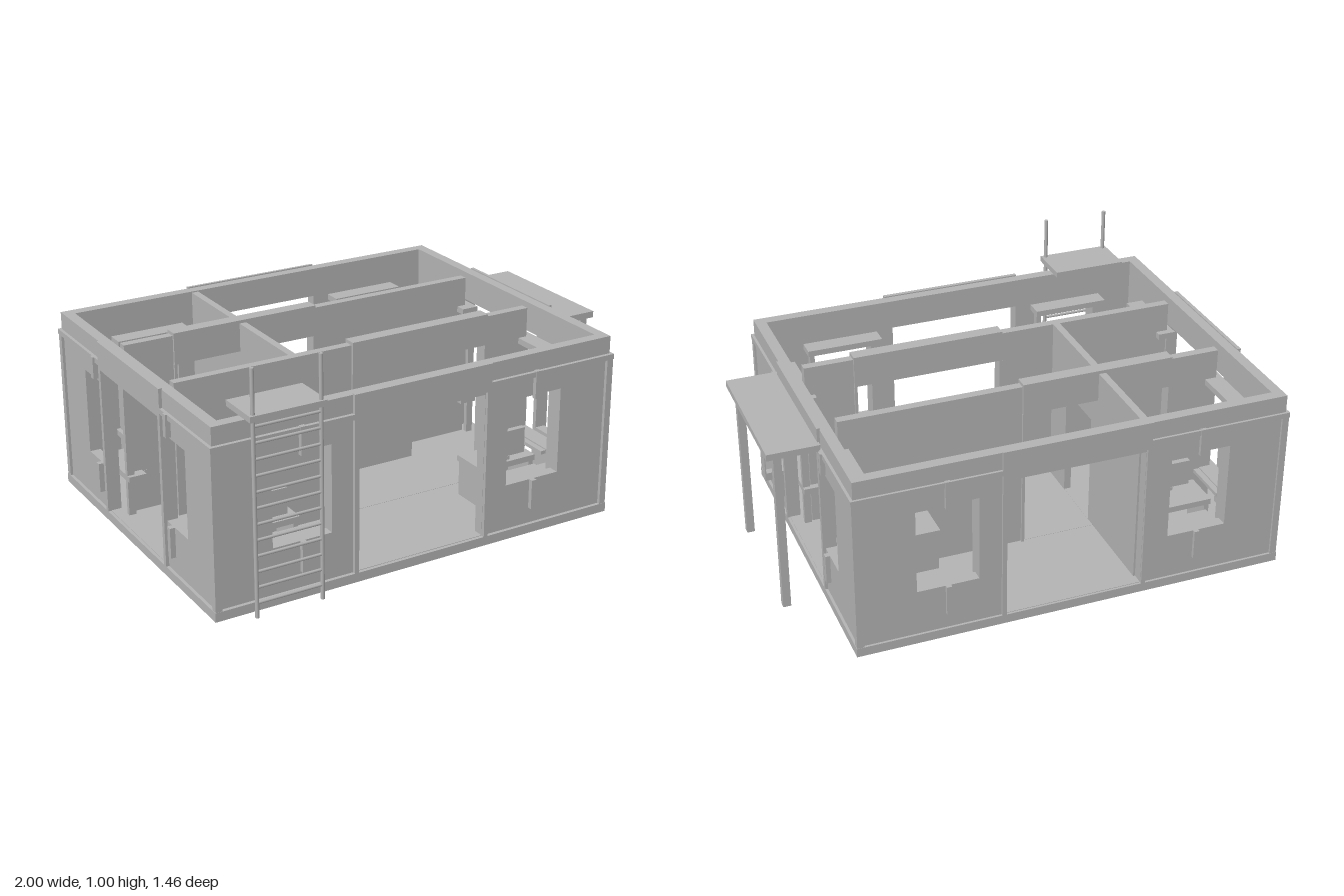
import * as THREE from 'three';

export function createModel() {
  const root = new THREE.Group();
  const grey = new THREE.MeshStandardMaterial({ color: 0xb3b3b3 });
  grey.name = 'plain grey';

  const add = (name, geo, parent = root) => {
    const m = new THREE.Mesh(geo, grey);
    m.name = name;
    parent.add(m);
    return m;
  };
  // box given by its low and high corners
  const box = (name, x0, x1, y0, y1, z0, z1, parent) =>
    add(name, new THREE.BoxGeometry(x1 - x0, y1 - y0, z1 - z0)
      .translate((x0 + x1) / 2, (y0 + y1) / 2, (z0 + z1) / 2), parent);
  const post = (name, x, z, y0, y1, r, n = 12) =>
    add(name, new THREE.CylinderGeometry(r, r, y1 - y0, n).translate(x, (y0 + y1) / 2, z));

  // wall panel with rectangular openings [u0, u1, v0, v1]
  const panel = (u0, u1, v0, v1, depth, holes) => {
    const rect = (P, a, b, c, d) => {
      const p = new P();
      p.moveTo(a, c); p.lineTo(b, c); p.lineTo(b, d); p.lineTo(a, d); p.closePath();
      return p;
    };
    const s = rect(THREE.Shape, u0, u1, v0, v1);
    for (const h of holes) s.holes.push(rect(THREE.Path, ...h));
    return new THREE.ExtrudeGeometry(s, { depth, bevelEnabled: false });
  };

  // floor
  box('plinth', -0.96, 0.77, 0, 0.03, -0.69, 0.64);
  box('floor', -0.96, 0.77, 0.02, 0.06, -0.7, 0.645);

  // outer walls
  const longHoles = [[-0.74, -0.49, 0.25, 0.61], [0.3, 0.55, 0.25, 0.61], [-0.38, 0.19, 0.06, 0.66]];
  const shortHoles = [[0.255, 0.435, 0.25, 0.61], [-0.485, -0.315, 0.25, 0.61], [-0.295, 0.235, 0.06, 0.66]];
  const T = 0.045;
  add('frontWall', panel(-0.975, 0.785, 0.02, 0.785, T, longHoles).translate(0, 0, 0.612));
  add('backWall', panel(-0.975, 0.785, 0.02, 0.785, T, longHoles).translate(0, 0, -0.717));
  const side = () => panel(-0.672, 0.612, 0.02, 0.785, T, shortHoles).rotateY(-Math.PI / 2);
  add('rightWall', side().translate(0.785, 0, 0));
  add('leftWall', side().translate(-0.93, 0, 0));

  // raised bands, pilasters and door surrounds on the long walls
  for (const [z0, z1] of [[0.655, 0.672], [-0.727, -0.715]]) {
    for (const [x0, x1] of [[-0.985, -0.385], [0.195, 0.795]]) {
      box('baseBand', x0, x1, 0.02, 0.058, z0, z1);
      box('upperBand', x0, x1, 0.69, 0.712, z0, z1);
    }
    box('doorSill', -0.385, 0.195, 0.02, 0.058, z0, z1);
    box('doorHeader', -0.39, 0.2, 0.675, 0.79, z0, z1);
    for (const x of [-0.39, 0.2]) box('pilaster', x - 0.009, x + 0.009, 0.02, 0.79, z0, z1);
    for (const x of [-0.615, 0.425]) {
      const out = z0 > 0 ? [z0, z1 + 0.004] : [z0 - 0.004, z1];
      box('upperRod', x - 0.011, x + 0.011, 0.6, 0.715, ...out);
      box('lowerRod', x - 0.011, x + 0.011, 0.125, 0.25, ...out);
    }
  }
  // the same on the short walls
  for (const [x0, x1, s] of [[0.783, 0.796, 1], [-0.988, -0.973, -1]]) {
    for (const [z0, z1] of [[-0.727, -0.305], [0.245, 0.672]]) {
      box('baseBand', x0, x1, 0.02, 0.058, z0, z1);
      box('upperBand', x0, x1, 0.69, 0.712, z0, z1);
    }
    box('doorSill', x0, x1, 0.02, 0.058, -0.31, 0.25);
    box('doorHeader', x0, x1, 0.675, 0.79, -0.315, 0.255);
    for (const z of [-0.305, 0.245]) box('pilaster', x0, x1, 0.02, 0.79, z - 0.01, z + 0.01);
    for (const z of [-0.36, 0.31]) {
      const out = s > 0 ? [x0, x1 + 0.008] : [x0 - 0.008, x1];
      box('upperRod', ...out, 0.62, 0.712, z - 0.012, z + 0.012);
      box('lowerRod', ...out, 0.125, 0.25, z - 0.012, z + 0.012);
    }
  }
  // corner columns
  for (const x of [-0.972, 0.78]) for (const z of [-0.712, 0.657])
    box('cornerColumn', x - 0.014, x + 0.014, 0.02, 0.712, z - 0.014, z + 0.014);

  // deep inner window frames; local +z points into the room
  const windowFrame = (x, z, turn) => {
    const g = new THREE.Group();
    g.name = 'windowFrame';
    box('topLedge', -0.163, 0.163, 0.63, 0.655, 0, 0.075, g);
    box('bottomLedge', -0.163, 0.163, 0.21, 0.235, 0, 0.075, g);
    box('sill', -0.12, 0.12, 0.215, 0.23, 0.075, 0.1, g);
    for (const s of [-1, 1]) {
      box('jamb', s * 0.135 - 0.01, s * 0.135 + 0.01, 0.235, 0.63, 0, 0.03, g);
      box('ledgeLeg', s * 0.135 - 0.01, s * 0.135 + 0.01, 0.06, 0.21, 0, 0.03, g);
    }
    g.position.set(x, 0, z);
    g.rotation.y = turn;
    root.add(g);
  };
  for (const x of [-0.615, 0.425]) {
    windowFrame(x, 0.612, Math.PI);
    windowFrame(x, -0.672, 0);
  }
  for (const z of [-0.36, 0.31]) {
    windowFrame(0.74, z, -Math.PI / 2);
    windowFrame(-0.93, z, Math.PI / 2);
  }

  // inner partitions with wide doorways and thicker lintels
  const partition = (name, z, d0, d1) => {
    add(name, panel(-0.905, 0.705, 0.06, 0.78, 0.036, [[d0, d1, 0.061, 0.66]]).translate(0, 0, z - 0.018));
    box('lintel', d0 - 0.01, d1 + 0.01, 0.66, 0.793, z - 0.028, z + 0.028);
    for (const x of [d0 - 0.005, d1 + 0.005])
      box('doorJamb', x - 0.006, x + 0.006, 0.06, 0.66, z - 0.028, z + 0.028);
  };
  partition('backPartition', -0.26, -0.685, -0.06);
  partition('frontPartition', 0.193, -0.13, 0.49);
  add('crossPartition', panel(-0.672, 0.178, 0.06, 0.78, 0.03, [[-0.23, 0.02, 0.061, 0.54]])
    .rotateY(-Math.PI / 2).translate(-0.372, 0, 0));

  // counter in the hall
  box('counter', -0.03, 0.36, 0.06, 0.37, -0.242, -0.12);

  // desks with screens and round stools
  const desk = (x, z, s) => {
    box('deskTop', x - 0.138, x + 0.138, 0.21, 0.235, z - 0.08, z + 0.08);
    for (const a of [-1, 1])
      box('deskSide', x + a * 0.125 - 0.01, x + a * 0.125 + 0.01, 0.06, 0.21, z - 0.07, z + 0.07);
    box('screen', x - 0.095, x + 0.095, 0.25, 0.36, z + s * 0.05 - 0.012, z + s * 0.05 + 0.012);
    box('screenFoot', x - 0.02, x + 0.02, 0.235, 0.25, z + s * 0.05 - 0.015, z + s * 0.05 + 0.015);
  };
  const stool = (x, z) => {
    post('stoolSeat', x, z, 0.14, 0.16, 0.06, 24);
    post('stoolStem', x, z, 0.06, 0.14, 0.012);
  };
  desk(-0.65, 0.37, 1);
  desk(0.456, 0.37, 1);
  desk(-0.65, -0.435, 1);
  stool(-0.65, 0.213);
  stool(0.456, 0.213);
  stool(-0.65, -0.56 + 0.09 - 0.08);

  // cabinet and padded block in the back rooms
  box('cabinet', -0.515, -0.405, 0.06, 0.39, -0.66, -0.36);
  box('blockBody', 0.385, 0.525, 0.06, 0.34, -0.5, -0.365);
  box('blockLid', 0.38, 0.53, 0.34, 0.357, -0.507, -0.358);

  // porch canopy with posts
  box('canopy', 0.79, 1.0, 0.705, 0.732, -0.338, 0.277);
  for (const z of [-0.305, 0.257]) box('canopyPost', 0.938, 0.97, 0.02, 0.705, z - 0.015, z + 0.015);

  // small bracket by the porch
  box('bracketArm', 0.79, 0.86, 0.21, 0.245, 0.31, 0.343);
  box('bracketPlate', 0.856, 0.861, 0.21, 0.4, 0.31, 0.343);

  // ladder and its landing
  for (const x of [-0.84, -0.565]) post('ladderRail', x, 0.715, 0.02, 1.0, 0.008);
  for (let i = 0; i < 12; i++)
    add('ladderRung', new THREE.CylinderGeometry(0.006, 0.006, 0.275, 8)
      .rotateZ(Math.PI / 2).translate(-0.7025, 0.08 + i * 0.0635, 0.715));
  box('landing', -0.858, -0.547, 0.8, 0.824, 0.545, 0.73);

  return root;
}
